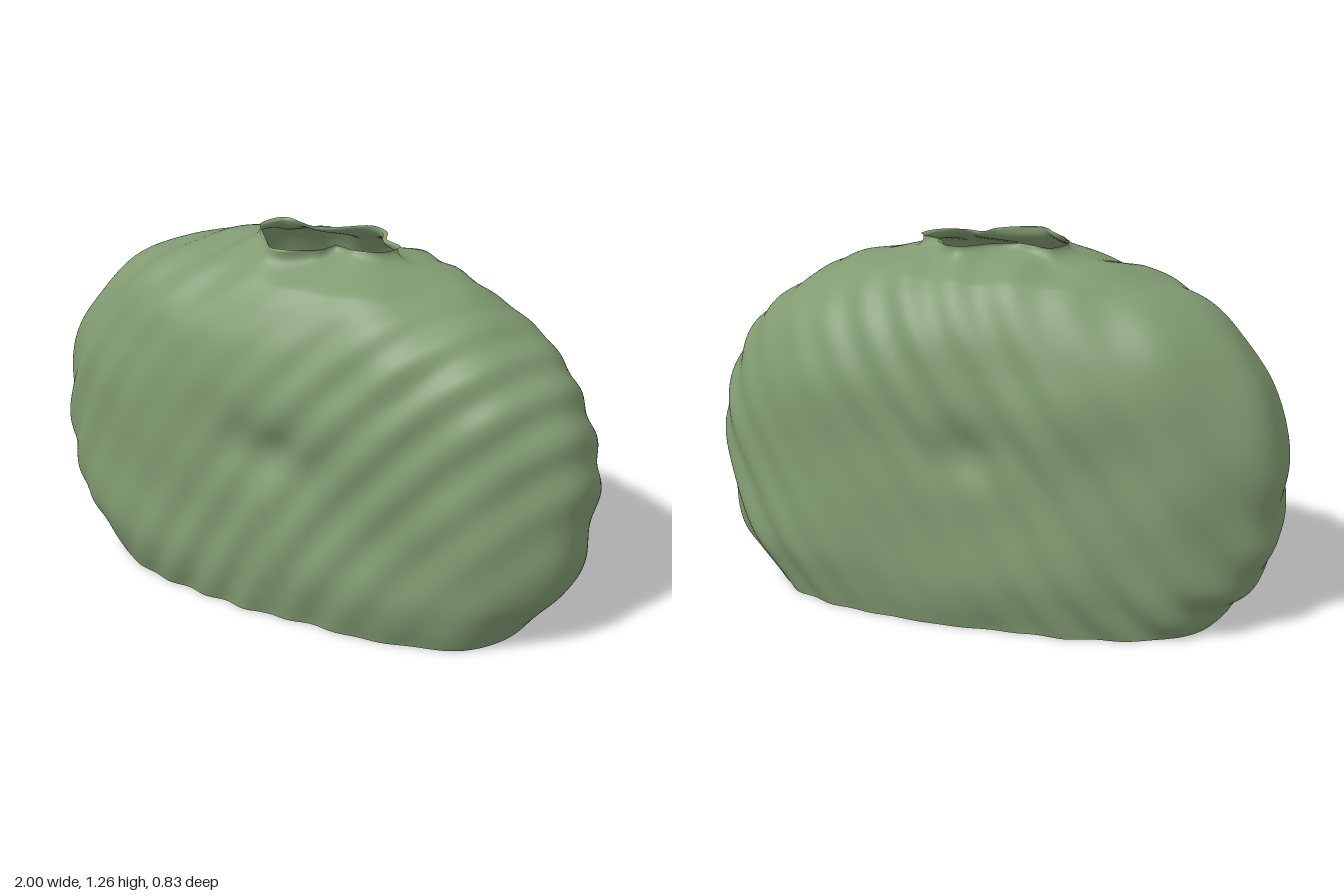
import * as THREE from 'three';

const HEIGHT = 1.265;
const AROUND = 240;
const UP = 130;

// Outline stations from the open base to the shoulder: half width, height, half depth
const stations = [
  [0.79, 0, 0.37], [0.87, 0.1, 0.395], [0.94, 0.2, 0.408], [0.99, 0.4, 0.402],
  [1.0, 0.58, 0.4], [0.94, 0.8, 0.405], [0.88, 0.91, 0.39], [0.79, 1.01, 0.365],
  [0.65, 1.11, 0.315], [0.5, 1.18, 0.26], [0.38, 1.225, 0.225], [0.27, HEIGHT, 0.17],
].map((p) => new THREE.Vector3(...p));

// Ragged opening at the top, as x, z
const opening = [
  [0.27, -0.03], [0.24, 0.04], [0.15, 0.07], [0.08, 0.06], [0.05, 0.12],
  [-0.09, 0.18], [-0.15, 0.12], [-0.2, 0.06], [-0.24, 0], [-0.2, -0.09],
  [-0.08, -0.06], [0, -0.09], [0.1, -0.16], [0.17, -0.13], [0.2, -0.07],
].map(([x, z]) => new THREE.Vector3(x, HEIGHT, z));

const signedPower = (v, e) => Math.sign(v) * Math.abs(v) ** e;

// Diagonal ridges, gently warped, with a slower swell beneath them
function ripple(x, y, z) {
  const warp = 0.8 * Math.sin(3.1 * y + 2 * x) + 0.6 * Math.sin(5 * z - 2.3 * x);
  const ridge = Math.sin(44 * (0.8 * x - 0.55 * y + 0.3 * z) + warp);
  const swell = Math.sin(11 * x + 6 * y - 9 * z) * Math.sin(7 * y - 4 * x + 5 * z);
  const strength = 0.6 + 0.4 * Math.sin(4 * x - 3 * y + 6 * z);
  return 0.008 * strength * ridge + 0.008 * swell - 0.003;
}

function shellGeometry() {
  const profile = new THREE.CatmullRomCurve3(stations);
  const rim = new THREE.CatmullRomCurve3(opening, true);
  const positions = [];
  const index = [];
  for (let j = 0; j <= UP; j++) {
    const s = profile.getPointAt(j / UP);
    const blend = THREE.MathUtils.smoothstep(s.y, 1.17, HEIGHT);
    const e = 2 / THREE.MathUtils.lerp(2.65, 2.1, s.y / HEIGHT);
    for (let i = 0; i < AROUND; i++) {
      const a = (i / AROUND) * Math.PI * 2;
      const p = new THREE.Vector3(
        s.x * signedPower(Math.cos(a), e), s.y, s.z * signedPower(Math.sin(a), e));
      const r = rim.getPoint(i / AROUND);
      p.x = THREE.MathUtils.lerp(p.x, r.x, blend);
      p.z = THREE.MathUtils.lerp(p.z, r.z, blend);
      positions.push(p.x, p.y, p.z);
      if (j < UP) {
        const k = (i + 1) % AROUND;
        const b = j * AROUND;
        const t = b + AROUND;
        index.push(b + i, t + i, b + k, b + k, t + i, t + k);
      }
    }
  }
  const geo = new THREE.BufferGeometry();
  geo.setAttribute('position', new THREE.Float32BufferAttribute(positions, 3));
  geo.setIndex(index);
  geo.computeVertexNormals();

  // Push the surface along its normals: ridges, plus a dimple on front and back
  const pos = geo.attributes.position;
  const nor = geo.attributes.normal;
  const top = UP * AROUND;
  for (let i = 0; i < top; i++) {
    const x = pos.getX(i), y = pos.getY(i), z = pos.getZ(i);
    const dimple = 0.04 * Math.exp(-((x / 0.13) ** 2) - ((y - 0.62) / 0.1) ** 2);
    const d = ripple(x, y, z) - dimple;
    pos.setXYZ(i,
      THREE.MathUtils.clamp(x + nor.getX(i) * d, -1, 1),
      i < AROUND ? 0 : THREE.MathUtils.clamp(y + nor.getY(i) * d, 0, HEIGHT),
      z + nor.getZ(i) * d);
  }
  geo.computeVertexNormals();
  return geo;
}

export function createModel() {
  const group = new THREE.Group();
  group.name = 'rippledShell';
  const green = new THREE.MeshStandardMaterial({ color: 0x819b72, side: THREE.DoubleSide });
  green.name = 'mossGreen';
  // Hollow body, open below and at the crown
  const shell = new THREE.Mesh(shellGeometry(), green);
  shell.name = 'shell';
  group.add(shell);
  return group;
}
